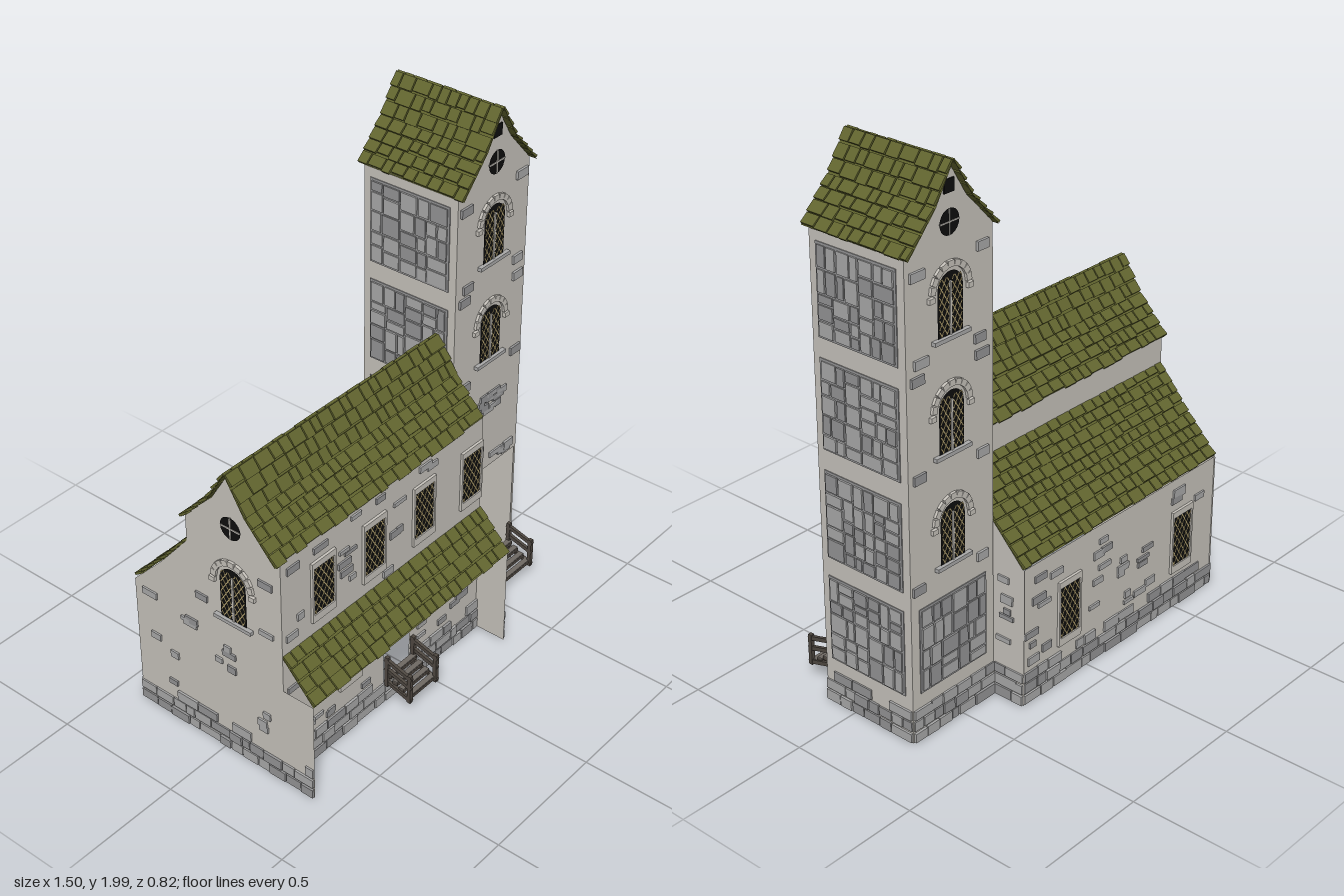
import * as THREE from 'three';
import { mergeGeometries } from 'three/addons/utils/BufferGeometryUtils.js';

const mat = (name, color, side = THREE.FrontSide) => {
  const m = new THREE.MeshStandardMaterial({ color, side });
  m.name = name;
  return m;
};

export function createModel() {
  const M = {
    wall: mat('plaster', 0xc7c3bc, THREE.DoubleSide),
    light: mat('light stone', 0xaaaaaa),
    dark: mat('dark stone', 0x959596),
    tile: mat('moss green tile', 0x62652f, THREE.DoubleSide),
    pane: mat('dark glass', 0x0e0e0e),
    lattice: mat('lattice brass', 0xb8a672),
    wood: mat('weathered wood', 0x4f4841),
    board: mat('grey board', 0x6f6963),
  };
  let seed = 7;
  const rnd = (a = 0, b = 1) => {
    seed = (seed * 16807) % 2147483647;
    return a + (b - a) * (seed / 2147483647);
  };

  // Geometry is collected per part and merged at the end
  const parts = new Map();
  const add = (name, m, geo, face) => {
    const key = name + '|' + m;
    if (!parts.has(key)) parts.set(key, []);
    const g = geo.index ? geo.toNonIndexed() : geo;
    if (face) g.applyMatrix4(face);
    parts.get(key).push(g);
  };
  // A face frame: u runs right, v up, depth outward
  const face = (x, z, turn) => new THREE.Matrix4().makeRotationY(turn * Math.PI / 2).setPosition(x, 0, z);
  const box = (name, m, f, u, v, w, h, d, z = 0.0015) =>
    add(name, m, new THREE.BoxGeometry(w, h, d).translate(u, v, z + d / 2), f);
  const stone = (name, f, u, v, w, h, d) => box(name, rnd() < 0.6 ? 'light' : 'dark', f, u, v, w, h, d);
  const shapeOf = pts => new THREE.Shape(pts.map(p => new THREE.Vector2(p[0], p[1])));
  const wall = (name, f, pts, hole) => {
    const s = shapeOf(pts);
    if (hole) s.holes.push(shapeOf([[hole[0], hole[2]], [hole[0], hole[3]], [hole[1], hole[3]], [hole[1], hole[2]]]));
    add(name, 'wall', new THREE.ShapeGeometry(s), f);
  };

  // Rough plinth of stones along the foot of a wall
  const plinth = (f, u0, u1, top = 0.13) => {
    const rows = top > 0.1 ? 3 : 2, h = top / rows;
    for (let r = 0; r < rows; r++) for (let u = u0; u < u1 - 0.005;) {
      let w = rnd(0.035, 0.1);
      if (u + w > u1 - 0.03) w = u1 - u;
      if (r < 2 || rnd() < 0.75)
        stone('plinthStones', f, u + w / 2, (r + 0.5) * h, w - 0.004, h - 0.004 - rnd(0, 0.006), rnd(0.005, 0.01));
      u += w;
    }
  };
  // Single stones showing through the plaster
  const scatter = (f, u0, u1, v0, v1, n, avoid = []) => {
    for (let i = 0; i < n; i++) {
      const u = rnd(u0 + 0.035, u1 - 0.035), v = rnd(v0, v1);
      if (avoid.some(a => u > a[0] - 0.04 && u < a[1] + 0.04 && v > a[2] - 0.02 && v < a[3] + 0.02)) continue;
      stone('wallStones', f, u, v, rnd(0.03, 0.07), rnd(0.014, 0.03), 0.007);
    }
  };
  // Rubble panel, split at random into blocks
  const rubble = (f, u0, u1, v0, v1) => {
    box('rubblePanel', 'dark', f, (u0 + u1) / 2, (v0 + v1) / 2, u1 - u0, v1 - v0, 0.003);
    const split = (a, b, c, d) => {
      const w = b - a, h = d - c, k = rnd(0.35, 0.65);
      if (Math.max(w, h) < 0.085 || (w * h < 0.005 && rnd() < 0.6))
        return stone('rubbleStones', f, (a + b) / 2, (c + d) / 2, w - 0.008, h - 0.008, rnd(0.006, 0.01));
      if (w > h) { split(a, a + w * k, c, d); split(a + w * k, b, c, d); }
      else { split(a, b, c, c + h * k); split(a, b, c + h * k, d); }
    };
    split(u0 + 0.005, u1 - 0.005, v0 + 0.005, v1 - 0.005);
  };

  // Diagonal glazing bars clipped to a rectangle
  const lattice = (f, u, v, w, h, step = 0.042) => {
    const a = w / 2, b = h / 2, k = 1.6;
    for (const s of [k, -k]) for (let c = -b - a * k + step / 2; c < b + a * k; c += step) {
      const e = [(-b - c) / s, (b - c) / s].sort((p, q) => p - q);
      const p = Math.max(-a, e[0]), q = Math.min(a, e[1]);
      if (q - p < 0.004) continue;
      add('windowLattice', 'lattice', new THREE.BoxGeometry((q - p) * Math.hypot(1, s), 0.0035, 0.001)
        .rotateZ(Math.atan(s)).translate(u + (p + q) / 2, v + s * (p + q) / 2 + c, 0.007), f);
    }
  };
  const squareWindow = (f, u, v0, h = 0.2, w = 0.1) => {
    const inner = f.clone().multiply(new THREE.Matrix4().makeRotationY(Math.PI));
    for (const [g, x] of [[f, u], [inner, -u]]) {
      box('windowPane', 'pane', g, x, v0 + h / 2, w, h, 0.005);
      lattice(g, x, v0 + h / 2, w, h);
    }
    for (const s of [-1, 1]) box('windowFrame', 'wall', f, u + s * (w / 2 + 0.005), v0 + h / 2, 0.008, h + 0.03, 0.01);
    box('windowFrame', 'wall', f, u, v0 + h + 0.012, w + 0.018, 0.024, 0.01);
    box('windowFrame', 'wall', f, u, v0 - 0.015, w + 0.018, 0.03, 0.01);
  };
  const archWindow = (f, u, v0) => {
    const s = new THREE.Shape().moveTo(-0.057, 0.01).lineTo(0.057, 0.01).lineTo(0.057, 0.165);
    s.absarc(0, 0.165, 0.057, 0, Math.PI, false);
    add('windowPane', 'pane', new THREE.ShapeGeometry(s, 8).translate(u, v0, 0.005), f);
    for (const d of [-1, 1]) {
      lattice(f, u + d * 0.029, v0 + 0.11, 0.044, 0.19, 0.038);
      box('archSurround', 'wall', f, u + d * 0.087, v0 + 0.15, 0.024, 0.018, 0.012);
    }
    box('windowMullion', 'wall', f, u, v0 + 0.1, 0.008, 0.18, 0.008);
    box('windowSill', 'light', f, u, v0 + 0.004, 0.164, 0.014, 0.016);
    for (let i = 0; i < 9; i++) { // arch stones
      const t = (i + 0.5) * Math.PI / 9;
      add('archSurround', 'wall', new THREE.BoxGeometry(0.022, 0.026, 0.01)
        .rotateZ(t).translate(u + 0.081 * Math.cos(t), v0 + 0.165 + 0.081 * Math.sin(t), 0.007), f);
    }
  };
  const roundWindow = (f, u, v) => {
    add('roundWindow', 'pane', new THREE.CircleGeometry(0.044, 20).translate(u, v, 0.005), f);
    box('roundWindowBars', 'wall', f, u, v, 0.005, 0.084, 0.006);
    box('roundWindowBars', 'wall', f, u, v, 0.084, 0.005, 0.006);
  };

  // Rows of tiles up a profile of [out, height] points
  const roof = (name, f, u0, u1, profile) => {
    for (let i = 0; i + 1 < profile.length; i++) {
      const [z0, y0] = profile[i], [z1, y1] = profile[i + 1];
      const len = Math.hypot(z1 - z0, y1 - y0), tilt = Math.atan2(z1 - z0, y1 - y0);
      add(name, 'tile', new THREE.PlaneGeometry(u1 - u0, len).rotateX(tilt)
        .translate((u0 + u1) / 2, (y0 + y1) / 2, (z0 + z1) / 2), f);
      const n = Math.max(1, Math.round(len / 0.046)), pitch = len / n;
      for (let r = 0; r < n; r++) for (let u = u0; u < u1 - 0.002;) {
        let w = rnd(0.035, 0.07);
        if (u + w > u1 - 0.025) w = u1 - u;
        const t = (r + 0.5) / n, drop = rnd(-0.003, 0.008);
        add(name, 'tile', new THREE.BoxGeometry(w - 0.005, pitch - 0.007 + drop, 0.009)
          .translate(0, -drop / 2, 0.005).rotateX(tilt - rnd(0.08, 0.2))
          .translate(u + w / 2, y0 + (y1 - y0) * t, z0 + (z1 - z0) * t), f);
        u += w;
      }
    }
  };

  // Wooden steps with a sloping rail on each side
  const steps = (name, x0, x1, z0) => {
    const w = x1 - x0, mid = (x0 + x1) / 2;
    const put = (m, g, x, y, z) => add(name, m, g.translate(x, y, z));
    for (let i = 0; i < 4; i++) {
      const y = 0.125 - i * 0.016, z = z0 + 0.018 + i * 0.028;
      put('board', new THREE.BoxGeometry(w, 0.004, 0.021), mid, y + 0.006, z);
      put('wood', new THREE.BoxGeometry(w, 0.012, 0.023), mid, y - 0.002, z);
    }
    for (const x of [x0, x1]) {
      put('wood', new THREE.BoxGeometry(0.015, 0.13, 0.015), x, 0.145, z0 + 0.012);
      put('wood', new THREE.BoxGeometry(0.015, 0.12, 0.015), x, 0.12, z0 + 0.113);
      for (const y of [0.085, 0.14, 0.18]) put('wood', new THREE.BoxGeometry(0.012, 0.015, 0.125).rotateX(0.28), x, y, z0 + 0.062);
    }
  };

  // Nave walls
  const L = -0.72, R = 0.335;
  const gable = [[-0.4, 0], [0.4, 0], [0.4, 0.4], [0.27, 0.4], [0.27, 0.93], [0.145, 1.055], [0.065, 1.185],
    [-0.015, 1.055], [-0.14, 0.93], [-0.14, 0.82], [-0.27, 0.665], [-0.4, 0.53]];
  const nFront = face(0, 0.27, 0), nBack = face(0, -0.395, 2), nLeft = face(L, 0, -1), nRight = face(R, 0, 1);
  const rect = (a, b, c, d) => [[a, c], [b, c], [b, d], [a, d]];
  wall('naveFrontWall', nFront, rect(L, R, 0, 0.93), [-0.2, -0.06, 0.08, 0.4]);
  wall('naveBackWall', nBack, rect(-R, -L, 0, 0.53));
  wall('naveGable', nLeft, gable);
  wall('naveGable', nRight, gable.map(p => [-p[0], p[1]]).reverse());
  wall('naveUpperBackWall', face(0, -0.14, 2), rect(-R, -L, 0.8, 0.93));

  const upper = [-0.52, -0.26, 0.005, 0.27];
  upper.forEach(u => squareWindow(nFront, u, 0.63, 0.19));
  squareWindow(nFront, -0.385, 0.24, 0.15);
  [-0.1, 0.53].forEach(u => squareWindow(nBack, u, 0.18));
  archWindow(nLeft, 0.065, 0.58);
  roundWindow(nLeft, 0.065, 0.97);

  plinth(nFront, L, -0.2);
  plinth(nFront, -0.2, -0.06, 0.07);
  plinth(nFront, -0.06, R);
  plinth(nBack, -R, -L);
  plinth(nLeft, -0.4, 0.4);
  plinth(nRight, -0.4, -0.135);
  plinth(nRight, 0.27, 0.4);
  scatter(nFront, L, R, 0.57, 0.91, 45, upper.map(u => [u - 0.05, u + 0.05, 0.6, 0.86]));
  scatter(nFront, L, R, 0.15, 0.4, 32, [[-0.44, -0.33, 0.2, 0.4], [-0.2, -0.06, 0, 0.42]]);
  scatter(nBack, -R, -L, 0.15, 0.5, 36, [[-0.16, -0.04, 0.14, 0.42], [0.47, 0.59, 0.14, 0.42]]);
  scatter(nLeft, -0.37, 0.24, 0.15, 0.52, 14);
  scatter(nLeft, -0.13, 0.26, 0.55, 0.92, 12, [[-0.03, 0.16, 0.56, 0.85]]);
  scatter(nRight, -0.26, -0.14, 0.45, 0.9, 8);
  scatter(nRight, 0.27, 0.39, 0.15, 0.5, 6);

  // Nave roofs
  const pitch = [[0.205, 0.925], [0.08, 1.06], [0, 1.192]];
  roof('naveRoof', face(0, 0.065, 0), -0.745, R, pitch);
  roof('naveRoof', face(0, 0.065, 2), -R, 0.745, pitch);
  roof('porchRoof', face(0, 0, 0), -0.72, 0.34, [[0.4, 0.4], [0.265, 0.545]]);
  roof('aisleRoof', face(0, 0, 2), -0.34, 0.72, [[0.397, 0.537], [0.27, 0.67], [0.13, 0.83]]);

  // Tower walls
  const tx = 0.54, tz = -0.067;
  const tFront = face(tx, 0.133, 0), tBack = face(tx, -0.267, 2), tRight = face(0.735, tz, 1), tLeft = face(0.34, tz, -1);
  const towerGable = [[-0.2, 0], [0.195, 0], [0.195, 1.73], [0.08, 1.855], [0, 1.985], [-0.08, 1.855], [-0.2, 1.73]];
  wall('towerFrontWall', tFront, towerGable, [-0.19, 0.185, 0.075, 0.535]);
  wall('towerBackWall', tBack, towerGable.map(p => [-p[0], p[1]]).reverse());
  for (const f of [tRight, tLeft]) wall('towerSideWall', f, rect(-0.2, 0.2, 0, 1.73));

  for (const f of [tFront, tBack]) {
    for (const v of f === tFront ? [1.41, 1.01] : [1.41, 1.01, 0.61]) archWindow(f, 0, v);
    roundWindow(f, 0, 1.79);
    box('gableOpening', 'pane', f, 0, 1.905, 0.044, 0.044, 0.005);
    for (const v of [0.57, 0.97, 1.3, 1.37, 1.67]) for (const s of [-1, 1]) // corner stones
      stone('cornerStones', f, s * (0.162 - rnd(0, 0.03)), v + rnd(-0.015, 0.02), rnd(0.05, 0.065), 0.032, 0.009);
  }
  scatter(tFront, -0.08, 0.12, 0.79, 0.86, 12);
  scatter(tFront, -0.19, 0.0, 0.56, 0.64, 10);
  scatter(tFront, 0.02, 0.19, 0.56, 0.6, 5);
  rubble(tBack, -0.16, 0.16, 0.18, 0.5);
  [0.175, 0.57, 0.97, 1.365].forEach((v, i) => {
    rubble(tRight, -0.17, 0.17, v, v + 0.325);
    if (i > 0) rubble(tLeft, -0.17, 0.17, v, v + 0.325);
  });
  plinth(tFront, -0.2, 0.195, 0.07);
  plinth(tBack, -0.195, 0.2);
  plinth(tRight, -0.2, 0.2);

  // Tower roof
  const spire = [[0.202, 1.727], [0.08, 1.86], [0, 1.992]];
  roof('towerRoof', face(tx, tz, 1), -0.225, 0.225, spire);
  roof('towerRoof', face(tx, tz, -1), -0.225, 0.225, spire);

  steps('towerSteps', 0.37, 0.69, 0.143);
  steps('porchSteps', -0.2, -0.055, 0.275);

  const group = new THREE.Group();
  group.name = 'church';
  for (const [key, list] of parts) {
    const [name, m] = key.split('|');
    const mesh = new THREE.Mesh(mergeGeometries(list), M[m]);
    mesh.name = name;
    group.add(mesh);
  }
  return group;
}
